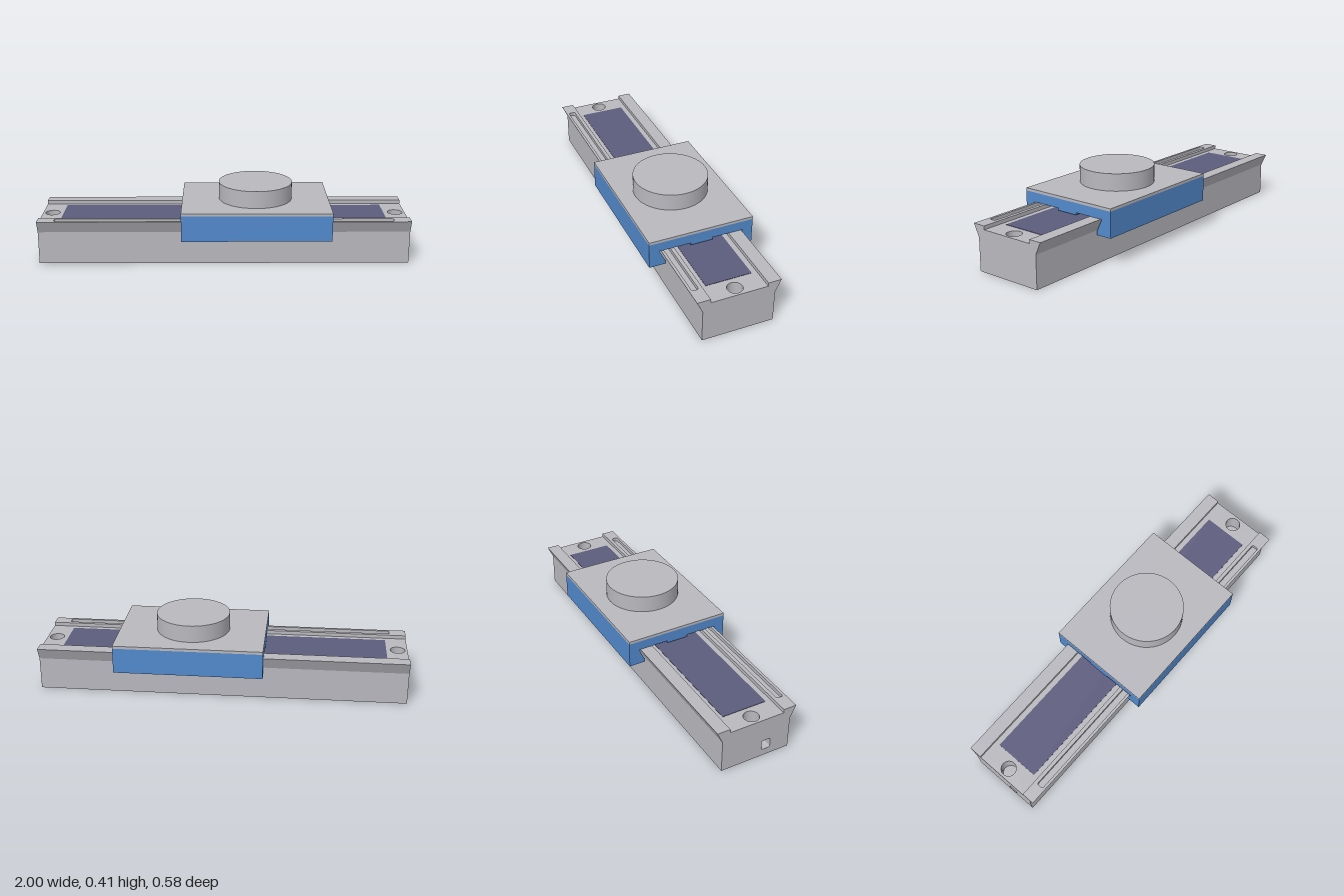
import * as THREE from 'three';

const grey = new THREE.MeshStandardMaterial({ color: 0xb8b8be });
grey.name = 'satin grey';
const blue = new THREE.MeshStandardMaterial({ color: 0x5289cc });
blue.name = 'carriage blue';
const slate = new THREE.MeshStandardMaterial({ color: 0x5c5b7d });
slate.name = 'slate strip';

function add(parent, name, geometry, material, x = 0, y = 0, z = 0) {
  const mesh = new THREE.Mesh(geometry, material);
  mesh.name = name;
  mesh.position.set(x, y, z);
  parent.add(mesh);
  return mesh;
}

// Rounded rectangle traced on a shape or a hole path
function roundedRect(path, cx, cy, w, h, r) {
  const x = w / 2 - r, y = h / 2 - r;
  path.absarc(cx + x, cy + y, r, 0, Math.PI / 2);
  path.absarc(cx - x, cy + y, r, Math.PI / 2, Math.PI);
  path.absarc(cx - x, cy - y, r, Math.PI, Math.PI * 1.5);
  path.absarc(cx + x, cy - y, r, Math.PI * 1.5, Math.PI * 2);
  path.closePath();
  return path;
}

// Cross-section given as [z, y] points, swept from x0 to x1
function sectionShape(points) {
  return new THREE.Shape(points.map(([z, y]) => new THREE.Vector2(-z, y)));
}
function sweep(shape, x0, x1) {
  return new THREE.ExtrudeGeometry(shape, { depth: x1 - x0, bevelEnabled: false })
    .rotateY(Math.PI / 2).translate(x0, 0, 0);
}

// Horizontal slab drawn from above, from y0 to y1
function slab(x0, x1, z0, z1, y0, y1, holes) {
  const shape = new THREE.Shape([
    new THREE.Vector2(x0, -z0), new THREE.Vector2(x0, -z1),
    new THREE.Vector2(x1, -z1), new THREE.Vector2(x1, -z0),
  ]);
  shape.holes.push(...holes);
  return new THREE.ExtrudeGeometry(shape, { depth: y1 - y0, bevelEnabled: false, curveSegments: 24 })
    .rotateX(-Math.PI / 2).translate(0, y0, 0);
}

function createRail() {
  const rail = new THREE.Group();
  rail.name = 'rail';

  // Flared body with an open trough and a notch in the front lip
  const profile = [
    [-0.193, 0], [0.193, 0], [0.193, 0.178], [0.224, 0.245],
    [0.214, 0.245], [0.214, 0.225], [0.165, 0.225], [0.165, 0.245],
    [0.153, 0.245], [0.153, 0.125], [-0.153, 0.125], [-0.153, 0.245],
    [-0.224, 0.245], [-0.193, 0.178],
  ];
  add(rail, 'railBody', sweep(sectionShape(profile), -0.95, 1), grey);

  // End block with the connector port
  const end = sectionShape(profile);
  end.holes.push(roundedRect(new THREE.Path(), -0.06, 0.065, 0.05, 0.055, 0.01));
  add(rail, 'portEnd', sweep(end, -1, -0.95), grey);

  // Trough floor with a mounting hole at each end
  const holes = [-0.947, 0.947].map((x) => {
    const hole = new THREE.Path();
    hole.absarc(x, 0, 0.04, 0, Math.PI * 2);
    return hole;
  });
  add(rail, 'troughFloor', slab(-1, 1, -0.153, 0.153, 0.125, 0.225, holes), grey);

  // Front lip insert with the long slot
  const slot = roundedRect(new THREE.Path(), 0, -0.191, 1.82, 0.036, 0.01);
  add(rail, 'slotLip', slab(-1, 1, 0.165, 0.214, 0.225, 0.245, [slot]), grey);

  // Dark strip lying in the trough
  add(rail, 'coverStrip', new THREE.BoxGeometry(1.766, 0.003, 0.248), slate, -0.002, 0.2255, 0);
  return rail;
}

function createCarriage() {
  const carriage = new THREE.Group();
  carriage.name = 'carriage';
  carriage.position.x = 0.172;
  const half = 0.4;

  // Dovetail saddle with the small tongue under its roof
  const side = [
    [0.06, 0.233], [0.06, 0.2455], [0.232, 0.2455], [0.2, 0.178],
    [0.2, 0.157], [0.288, 0.157], [0.288, 0.297],
  ];
  const mirrored = side.map(([z, y]) => [-z, y]).reverse();
  add(carriage, 'saddle', sweep(sectionShape([...side, ...mirrored]), -half, half), blue);

  // Top plate and round mount
  add(carriage, 'topPlate', new THREE.BoxGeometry(half * 2, 0.015, 0.576), grey, 0, 0.3045, 0);
  add(carriage, 'roundMount', new THREE.CylinderGeometry(0.2, 0.2, 0.094, 64), grey, 0, 0.359, 0);
  return carriage;
}

export function createModel() {
  const model = new THREE.Group();
  model.name = 'linearSlide';
  model.add(createRail(), createCarriage());
  return model;
}
